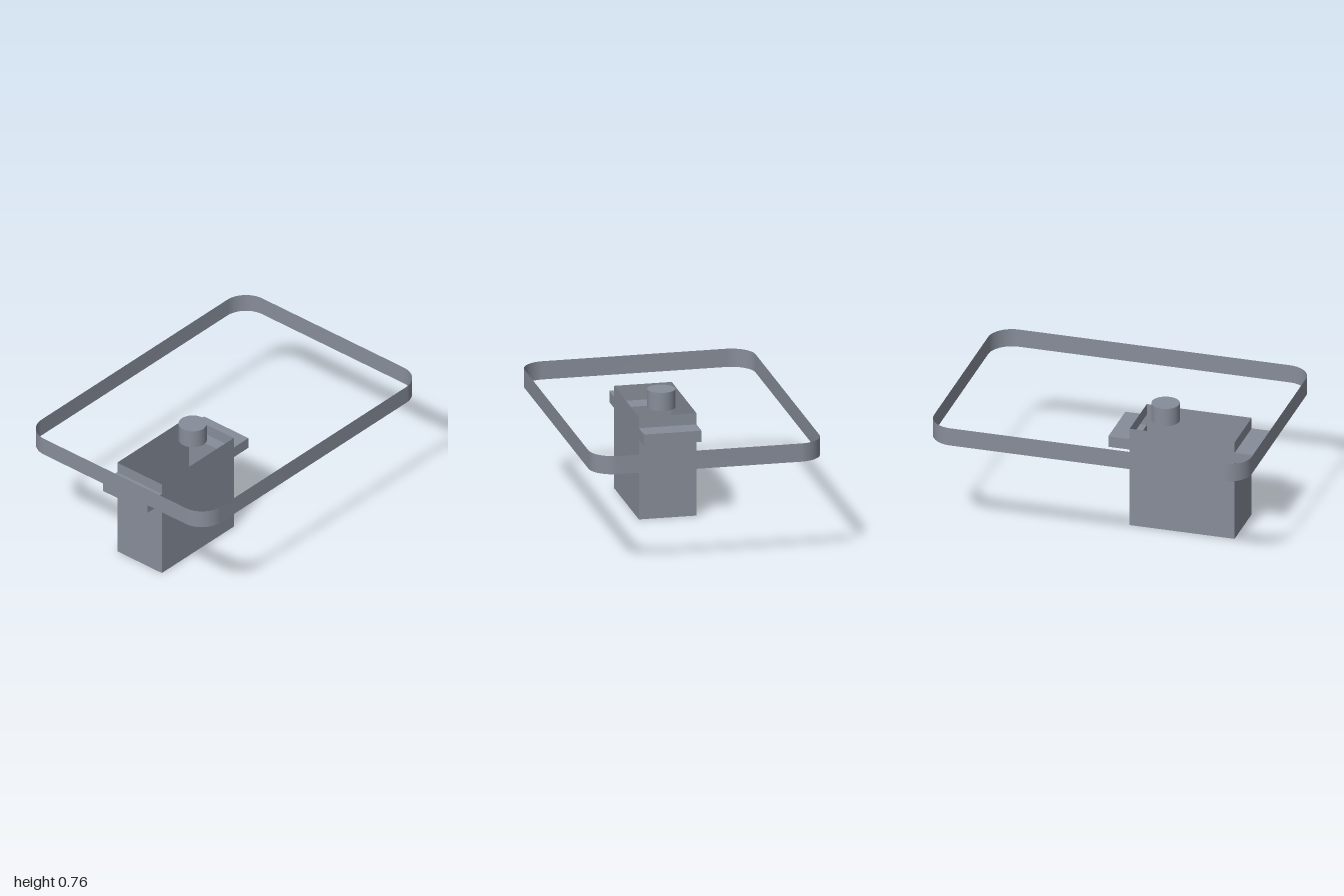
import * as THREE from 'three';
import { toCreasedNormals } from 'three/addons/utils/BufferGeometryUtils.js';

const TOP = 0.645;    // open rim of the housing, underside of the band
const UPPER = 0.76;   // top of the band and shaft
const HALF_D = 0.178; // half depth of the housing

// Sweeps a 2D path along z into a thin wall
function sweep(points, z0, z1) {
  const position = [], index = [];
  points.forEach((p, i) => {
    position.push(p.x, p.y, z0, p.x, p.y, z1);
    if (i > 0) {
      const a = 2 * (i - 1);
      index.push(a, a + 2, a + 1, a + 1, a + 2, a + 3);
    }
  });
  const g = new THREE.BufferGeometry();
  g.setAttribute('position', new THREE.Float32BufferAttribute(position, 3));
  g.setIndex(index);
  return toCreasedNormals(g, 0.6);
}

// Rounded rectangle outline, starting in the middle of a straight side
function roundedOutline(hw, hh, r) {
  const s = new THREE.Shape();
  s.moveTo(0, -hh);
  s.lineTo(hw - r, -hh);
  s.absarc(hw - r, -hh + r, r, -Math.PI / 2, 0);
  s.absarc(hw - r, hh - r, r, 0, Math.PI / 2);
  s.absarc(-hw + r, hh - r, r, Math.PI / 2, Math.PI);
  s.absarc(-hw + r, -hh + r, r, Math.PI, Math.PI * 1.5);
  s.lineTo(0, -hh);
  return s.getPoints(12).filter((p, i, a) => i === 0 || p.distanceTo(a[i - 1]) > 1e-5);
}

export function createModel() {
  const model = new THREE.Group();
  const grey = new THREE.MeshStandardMaterial({ color: 0x878d99, side: THREE.DoubleSide });
  grey.name = 'slate grey';

  const add = (parent, name, geometry) => {
    const mesh = new THREE.Mesh(geometry, grey);
    mesh.name = name;
    parent.add(mesh);
    return mesh;
  };

  // Housing: hollow box with a hollow mounting tab on each side, open at the top
  const housing = new THREE.Group();
  housing.name = 'housing';
  model.add(housing);
  const outline = [
    [-0.775, TOP], [-0.775, 0.575], [-0.905, 0.575], [-0.905, 0.505], [-0.775, 0.505], [-0.775, 0],
    [-0.115, 0], [-0.115, 0.505], [0.02, 0.505], [0.02, 0.575], [-0.115, 0.575], [-0.115, TOP],
  ].map(([x, y]) => new THREE.Vector2(x, y));
  add(housing, 'housingSides', sweep(outline, -HALF_D, HALF_D));
  const face = new THREE.ShapeGeometry(new THREE.Shape(outline));
  add(housing, 'housingFront', face).position.z = HALF_D;
  const back = add(housing, 'housingBack', face.clone().rotateY(Math.PI));
  back.position.set(0, 0, -HALF_D);
  back.geometry.scale(-1, 1, 1);
  // Restore outward corner order after mirroring
  const idx = back.geometry.index.array;
  for (let i = 0; i < idx.length; i += 3) [idx[i], idx[i + 1]] = [idx[i + 1], idx[i]];

  // Output shaft: round wall with a cap on top
  const shaft = new THREE.Group();
  shaft.name = 'shaft';
  shaft.position.set(-0.287, 0, 0);
  model.add(shaft);
  add(shaft, 'shaftWall', new THREE.CylinderGeometry(0.086, 0.086, UPPER - TOP, 48, 1, true))
    .position.y = (TOP + UPPER) / 2;
  add(shaft, 'shaftCap', new THREE.CircleGeometry(0.086, 48).rotateX(-Math.PI / 2))
    .position.y = UPPER;

  // Thin upright band with rounded corners
  add(model, 'band', sweep(roundedOutline(1, 0.714, 0.15), TOP, UPPER).rotateX(-Math.PI / 2));

  return model;
}
